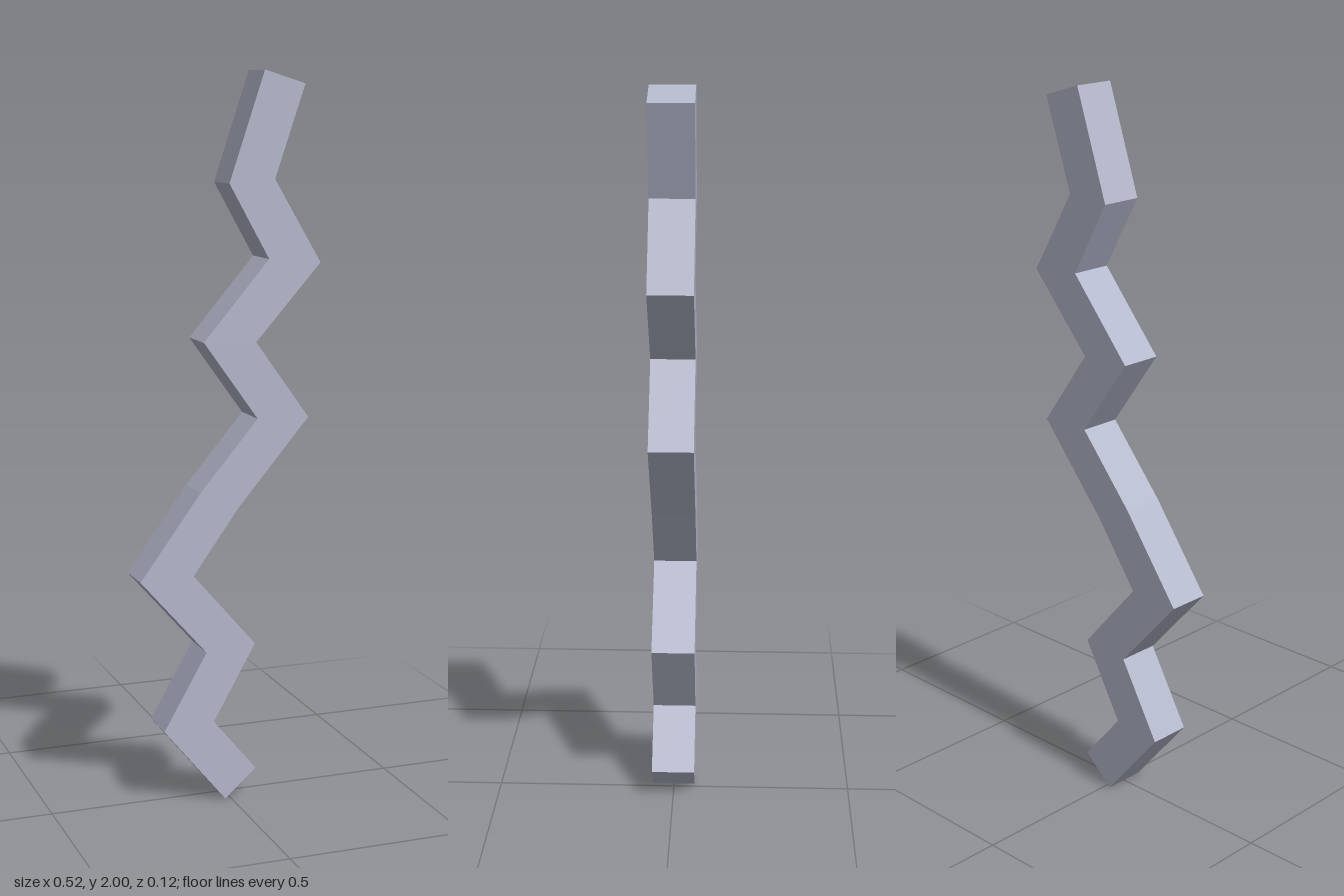
import * as THREE from 'three';

export function createModel() {
  const group = new THREE.Group();
  group.name = 'zigzagBar';
  const paleSteel = new THREE.MeshStandardMaterial({ color: 0xb4b8cc });
  paleSteel.name = 'paleSteel';

  // Outline corners, bottom to top, along each edge of the bar
  const leftEdge = [
    [-0.016, 0], [-0.194, 0.217], [-0.071, 0.431], [-0.259, 0.646], [-0.087, 0.881],
    [0.077, 1.074], [-0.077, 1.288], [0.108, 1.505], [-0.005, 1.706], [0.094, 2],
  ];
  const rightEdge = [
    [0.074, 0.08], [-0.05, 0.23], [0.071, 0.443], [-0.108, 0.651], [0.019, 0.828],
    [0.225, 1.071], [0.072, 1.283], [0.257, 1.492], [0.124, 1.716], [0.209, 1.965],
  ];
  const outline = [...rightEdge, ...leftEdge.reverse()].map(([x, y]) => new THREE.Vector2(x, y));

  // Square-section bar folded into a zigzag
  const depth = 0.12;
  const geometry = new THREE.ExtrudeGeometry(new THREE.Shape(outline), { depth, bevelEnabled: false });
  geometry.translate(0, 0, -depth / 2);
  const bar = new THREE.Mesh(geometry, paleSteel);
  bar.name = 'bar';
  group.add(bar);
  return group;
}
